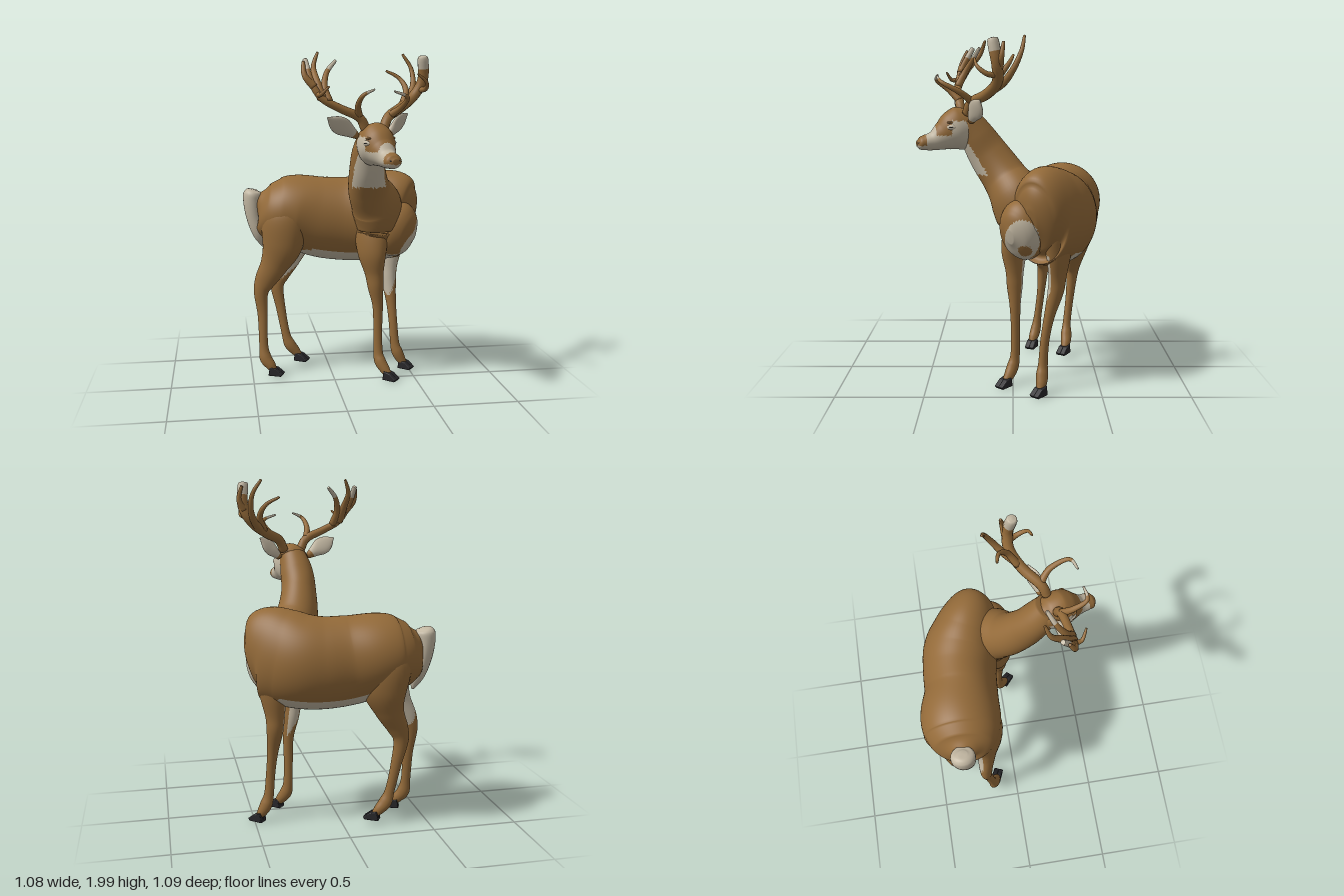
import * as THREE from 'three';

const V = (a) => new THREE.Vector3(...a);

export function createModel() {
  const model = new THREE.Group();
  model.name = 'deer';
  const mat = (name, color) => {
    const m = new THREE.MeshStandardMaterial({ color });
    m.name = name;
    return m;
  };
  const brown = mat('brownCoat', 0x936a39);
  const cream = mat('creamFur', 0xc2b7a2);
  const black = mat('blackHoof', 0x28272a);

  // Smooth skin through elliptical sections [x, y, z, halfWidth, halfHeight];
  // paint(point, u, cos, sin) returns true where the fur is cream.
  function loft(name, secs, { ref = [0, 1, 0], n = 24, sub = 6, paint = () => false, parent = model } = {}) {
    const path = new THREE.CatmullRomCurve3(secs.map((s) => V(s.slice(0, 3))), false, 'catmullrom');
    const size = new THREE.CatmullRomCurve3(secs.map((s) => new THREE.Vector3(s[3], s[4] ?? s[3], 0)), false, 'catmullrom');
    const m = (secs.length - 1) * sub;
    const pts = [], faces = [[], []];
    for (let i = 0; i <= m; i++) {
      const c = path.getPoint(i / m), r = size.getPoint(i / m), t = path.getTangent(i / m);
      const side = V(ref).cross(t).normalize();
      const up = t.clone().cross(side);
      for (let j = 0; j < n; j++) {
        const a = (j / n) * Math.PI * 2;
        pts.push(c.clone().addScaledVector(side, Math.cos(a) * Math.max(r.x, 0.002))
          .addScaledVector(up, Math.sin(a) * Math.max(r.y, 0.002)));
      }
    }
    pts.push(path.getPoint(0), path.getPoint(1));
    const tri = (a, b, c, u, j) => {
      const mid = pts[a].clone().add(pts[b]).add(pts[c]).divideScalar(3);
      const t = ((j + 0.5) / n) * Math.PI * 2;
      faces[paint(mid, u, Math.cos(t), Math.sin(t)) ? 1 : 0].push(a, b, c);
    };
    for (let j = 0; j < n; j++) {
      const k = (j + 1) % n;
      for (let i = 0; i < m; i++) {
        const a = i * n + j, b = i * n + k, u = (i + 0.5) / m;
        tri(a, b, a + n, u, j);
        tri(b, b + n, a + n, u, j);
      }
      tri(pts.length - 2, k, j, 0, j);
      tri(pts.length - 1, m * n + j, m * n + k, 1, j);
    }
    const geo = new THREE.BufferGeometry().setFromPoints(pts);
    geo.setIndex([...faces[0], ...faces[1]]);
    geo.addGroup(0, faces[0].length, 0);
    geo.addGroup(faces[0].length, faces[1].length, 1);
    geo.computeVertexNormals();
    const mesh = new THREE.Mesh(geo, [brown, cream]);
    mesh.name = name;
    parent.add(mesh);
  }

  // Trunk, curving toward the front at the chest
  const spot = new THREE.Vector3(0.48, 0.83, -0.065);
  const chest = (p) => p.x > 0.4 && ((p.z + 0.05) / 0.095) ** 2 + ((p.y - 0.89) / 0.12) ** 2 < 1 && p.distanceTo(spot) > 0.04;
  loft('body', [
    [-0.458, 1.04, -0.31, 0.03, 0.04], [-0.437, 1.04, -0.31, 0.1, 0.11], [-0.39, 1.03, -0.308, 0.175, 0.17],
    [-0.31, 1.02, -0.306, 0.22, 0.212], [-0.2, 1.017, -0.305, 0.237, 0.237], [-0.05, 0.985, -0.283, 0.22, 0.257],
    [0.1, 0.972, -0.272, 0.222, 0.265], [0.22, 0.98, -0.25, 0.225, 0.272], [0.32, 1.0, -0.205, 0.205, 0.278],
    [0.41, 1.02, -0.155, 0.175, 0.266], [0.47, 1.01, -0.12, 0.12, 0.19], [0.505, 1.0, -0.095, 0.03, 0.06],
  ], { n: 64, sub: 8, paint: (p, u, c, s) => chest(p) || (p.x < 0.38 && s < -0.7 - Math.max(0, -0.08 - p.x) * 1.2) });
  loft('breast', [
    [0.27, 0.95, -0.14, 0.06, 0.1], [0.32, 0.95, -0.11, 0.12, 0.16], [0.4, 0.935, -0.05, 0.135, 0.175],
    [0.455, 0.92, -0.005, 0.1, 0.13], [0.485, 0.91, 0.02, 0.025, 0.04],
  ], { n: 56, sub: 12, paint: (p) => chest(p) || p.y < 0.785 });

  // Neck with a cream throat
  loft('neck', [
    [0.27, 0.79, -0.03, 0.05, 0.06], [0.28, 0.93, -0.06, 0.125, 0.14], [0.262, 1.08, -0.03, 0.15, 0.16], [0.2, 1.2, 0.045, 0.125, 0.132],
    [0.172, 1.33, 0.137, 0.105, 0.118], [0.172, 1.44, 0.205, 0.098, 0.1], [0.185, 1.53, 0.265, 0.08, 0.085],
  ], { n: 48, sub: 8, paint: (p) => p.y > 1.225 && p.z - (0.1 + (p.y - 1.25) * 0.636) > 0.055 });

  // Tail, filling in against the rump
  loft('tail', [
    [-0.468, 1.163, -0.325, 0.025, 0.022], [-0.472, 1.145, -0.325, 0.066, 0.058], [-0.476, 1.09, -0.325, 0.073, 0.06],
    [-0.465, 0.99, -0.32, 0.066, 0.054], [-0.437, 0.88, -0.31, 0.05, 0.042], [-0.415, 0.8, -0.305, 0.008, 0.008],
  ], { ref: [1, 0.1, 0], paint: (p) => p.x < -0.42 || p.y < 1.1 });

  // Head, built facing +z and then turned
  const head = new THREE.Group();
  head.name = 'head';
  head.position.set(0.17, 0, 0.26);
  head.rotation.y = 0.28;
  model.add(head);
  const facePaint = (p) => {
    if (p.z > 0.245) return p.y < 1.393;
    if (p.z > 0.19) return true;
    if (p.z > 0.11) return p.y < 1.45;
    return p.z > -0.03 && p.y < 1.53 - Math.max(0, 0.03 - p.z) * 0.8;
  };
  loft('skull', [
    [0, 1.53, -0.06, 0.03, 0.03], [0, 1.515, -0.03, 0.075, 0.085], [0, 1.49, 0.03, 0.097, 0.124],
    [0, 1.47, 0.085, 0.1, 0.115], [0, 1.443, 0.14, 0.078, 0.084], [0, 1.418, 0.195, 0.056, 0.056],
    [0, 1.408, 0.245, 0.05, 0.044], [0, 1.404, 0.275, 0.045, 0.036], [0, 1.404, 0.295, 0.018, 0.016],
  ], { n: 48, sub: 10, parent: head, paint: facePaint });
  for (const s of [1, -1]) {
    const ball = (name, m, pos, size, turn) => {
      const b = new THREE.Mesh(new THREE.SphereGeometry(1, 16, 12), m);
      b.name = name;
      b.position.set(...pos);
      b.scale.set(...size);
      b.rotation.y = turn;
      head.add(b);
    };
    ball('brow', brown, [s * 0.066, 1.522, 0.105], [0.022, 0.01, 0.032], s * 0.4);
    ball('eyelid', cream, [s * 0.082, 1.495, 0.108], [0.016, 0.018, 0.03], -s * 0.3);
    ball('eye', black, [s * 0.092, 1.495, 0.114], [0.006, 0.004, 0.015], -s * 0.3);
    ball('nostril', black, [s * 0.026, 1.41, 0.283], [0.007, 0.006, 0.007], 0);
  }

  // Ears
  const ear = (name, base, tip) => {
    const at = (t, w, d) => [...V(base).lerp(V(tip), t).toArray(), d, w];
    loft(name, [at(0, 0.018, 0.02), at(0.25, 0.036, 0.022), at(0.5, 0.054, 0.018), at(0.75, 0.044, 0.013), at(1, 0.004, 0.004)],
      { ref: [0, 1, 0.5], n: 20, paint: (p, u) => u > 0.12 });
  };
  ear('rightEar', [0.085, 1.53, 0.285], [-0.09, 1.635, 0.345]);
  ear('leftEar', [0.27, 1.53, 0.235], [0.395, 1.65, 0.18]);

  // Antlers: tapered branches with rounded ends [points, base radius, tip radius, cream from u]
  const antler = (name, branches) => {
    const parent = new THREE.Group();
    parent.name = name;
    model.add(parent);
    branches.forEach(([pts, r0, r1, from = 2], i) => {
      const last = pts.length - 1;
      const secs = pts.map((p, k) => [...p, r0 + (r1 - r0) * (k / last)]);
      const end = V(pts[last]).sub(V(pts[last - 1])).setLength(r1 * 0.6).add(V(pts[last]));
      secs.push([...end.toArray(), r1 * 0.3]);
      loft(i ? 'tine' : 'beam', secs, { ref: [1, -1, 1], n: 12, parent, paint: (p, u) => u > from });
    });
  };
  antler('rightAntler', [
    [[[0.13, 1.57, 0.3], [0.09, 1.635, 0.31], [-0.02, 1.685, 0.325], [-0.12, 1.74, 0.33], [-0.175, 1.83, 0.31], [-0.2, 1.94, 0.25]], 0.028, 0.015, 0.75],
    [[[0.09, 1.64, 0.31], [0.075, 1.7, 0.37], [0.09, 1.755, 0.44], [0.15, 1.785, 0.43]], 0.022, 0.006, 0.6],
    [[[-0.12, 1.74, 0.33], [-0.14, 1.83, 0.27], [-0.15, 1.91, 0.2], [-0.125, 1.985, 0.17]], 0.027, 0.008],
    [[[-0.08, 1.72, 0.33], [-0.1, 1.8, 0.29], [-0.08, 1.88, 0.24], [-0.03, 1.94, 0.2]], 0.024, 0.01, 0.55],
    [[[-0.14, 1.76, 0.33], [-0.13, 1.76, 0.37], [-0.09, 1.8, 0.395]], 0.016, 0.006],
    [[[-0.16, 1.8, 0.32], [-0.21, 1.86, 0.31], [-0.215, 1.93, 0.28]], 0.022, 0.01],
  ]);
  antler('leftAntler', [
    [[[0.24, 1.57, 0.26], [0.275, 1.635, 0.23], [0.36, 1.68, 0.145], [0.45, 1.745, 0.085], [0.505, 1.84, 0.085], [0.5, 1.96, 0.105]], 0.028, 0.031, 0.74],
    [[[0.28, 1.64, 0.23], [0.335, 1.69, 0.29], [0.345, 1.745, 0.39], [0.27, 1.775, 0.42]], 0.022, 0.006, 0.6],
    [[[0.39, 1.695, 0.125], [0.44, 1.745, 0.05], [0.47, 1.82, -0.005], [0.465, 1.91, -0.045], [0.42, 1.985, -0.06]], 0.026, 0.008],
    [[[0.38, 1.7, 0.12], [0.41, 1.78, 0.07], [0.38, 1.85, 0.02], [0.31, 1.89, 0.0]], 0.023, 0.007],
    [[[0.48, 1.78, 0.08], [0.51, 1.79, 0.14], [0.5, 1.83, 0.19], [0.45, 1.87, 0.205]], 0.018, 0.006],
    [[[0.5, 1.82, 0.07], [0.53, 1.88, 0.06], [0.515, 1.95, 0.05]], 0.02, 0.009],
  ]);

  // Cloven hoof: two bevelled side profiles
  const toe = new THREE.ExtrudeGeometry(
    new THREE.Shape([[-0.035, 0.006], [0.04, 0.006], [0.046, 0.014], [0.01, 0.042], [-0.028, 0.052]].map((p) => new THREE.Vector2(...p))),
    { depth: 0.02, bevelThickness: 0.006, bevelSize: 0.005, bevelSegments: 3 });
  toe.translate(0, 0, -0.01);

  // Legs: sections from the trunk down, cream on the inner side (behind the front limit)
  const leg = (name, left, dir, foot, secs, lo, hi, front = 1) => {
    loft(name, secs, {
      ref: [dir[0], 0, dir[1]], n: 32, sub: 8,
      paint: (p, u, c, s) => (left ? -c : c) > 0.05 && s < front && p.y > lo + 0.1 * (1 - Math.abs(c)) && p.y < hi,
    });
    const hoof = new THREE.Group();
    hoof.name = name + 'Hoof';
    hoof.position.set(...foot);
    hoof.rotation.y = Math.atan2(-dir[1], dir[0]);
    for (const s of [1, -1]) {
      const t = new THREE.Mesh(toe, black);
      t.name = 'toe';
      t.position.z = s * 0.0145;
      hoof.add(t);
    }
    model.add(hoof);
  };
  leg('rightForeleg', false, [0.75, 0.66], [0.34, 0, 0.05], [
    [0.26, 1.08, -0.08, 0.06, 0.08], [0.235, 0.95, -0.045, 0.075, 0.11], [0.23, 0.8, -0.01, 0.062, 0.095],
    [0.245, 0.67, -0.01, 0.045, 0.062], [0.255, 0.58, -0.01, 0.042, 0.05], [0.27, 0.46, -0.012, 0.03, 0.033],
    [0.272, 0.3, -0.015, 0.024, 0.028], [0.275, 0.17, -0.012, 0.025, 0.03], [0.285, 0.11, 0.0, 0.032, 0.037],
    [0.31, 0.065, 0.02, 0.03, 0.032], [0.33, 0.035, 0.04, 0.022, 0.022],
  ], 0.48, 0.76, -0.1);
  leg('leftForeleg', true, [0.75, 0.66], [0.48, 0, -0.148], [
    [0.4, 1.08, -0.22, 0.06, 0.09], [0.4, 0.95, -0.25, 0.075, 0.11], [0.395, 0.8, -0.255, 0.06, 0.085],
    [0.385, 0.67, -0.25, 0.045, 0.06], [0.385, 0.58, -0.24, 0.043, 0.05], [0.395, 0.44, -0.205, 0.029, 0.033],
    [0.405, 0.3, -0.18, 0.024, 0.028], [0.415, 0.17, -0.17, 0.025, 0.03], [0.43, 0.11, -0.165, 0.032, 0.037],
    [0.452, 0.065, -0.16, 0.03, 0.032], [0.47, 0.035, -0.152, 0.022, 0.022],
  ], 0.48, 0.8);
  leg('rightHindLeg', false, [0.92, 0.38], [-0.358, 0.005, -0.125], [
    [-0.28, 1.12, -0.2, 0.06, 0.08], [-0.29, 1.0, -0.18, 0.1, 0.14], [-0.305, 0.84, -0.17, 0.09, 0.13],
    [-0.355, 0.71, -0.18, 0.06, 0.09], [-0.415, 0.6, -0.195, 0.042, 0.066], [-0.44, 0.52, -0.198, 0.034, 0.045],
    [-0.432, 0.38, -0.187, 0.025, 0.032], [-0.43, 0.2, -0.165, 0.024, 0.028], [-0.42, 0.115, -0.152, 0.032, 0.038],
    [-0.39, 0.07, -0.137, 0.03, 0.032], [-0.37, 0.04, -0.128, 0.022, 0.022],
  ], 0.56, 0.84);
  leg('leftHindLeg', true, [0.85, 0.5], [-0.178, 0.024, -0.325], [
    [-0.22, 1.12, -0.4, 0.06, 0.08], [-0.22, 1.0, -0.425, 0.1, 0.14], [-0.21, 0.84, -0.425, 0.085, 0.13],
    [-0.245, 0.71, -0.41, 0.06, 0.088], [-0.3, 0.6, -0.395, 0.042, 0.064], [-0.325, 0.52, -0.385, 0.034, 0.045],
    [-0.305, 0.38, -0.37, 0.025, 0.032], [-0.275, 0.21, -0.35, 0.024, 0.028], [-0.25, 0.135, -0.345, 0.032, 0.038],
    [-0.215, 0.09, -0.34, 0.03, 0.032], [-0.19, 0.06, -0.332, 0.022, 0.022],
  ], 0.56, 0.84);

  return model;
}
